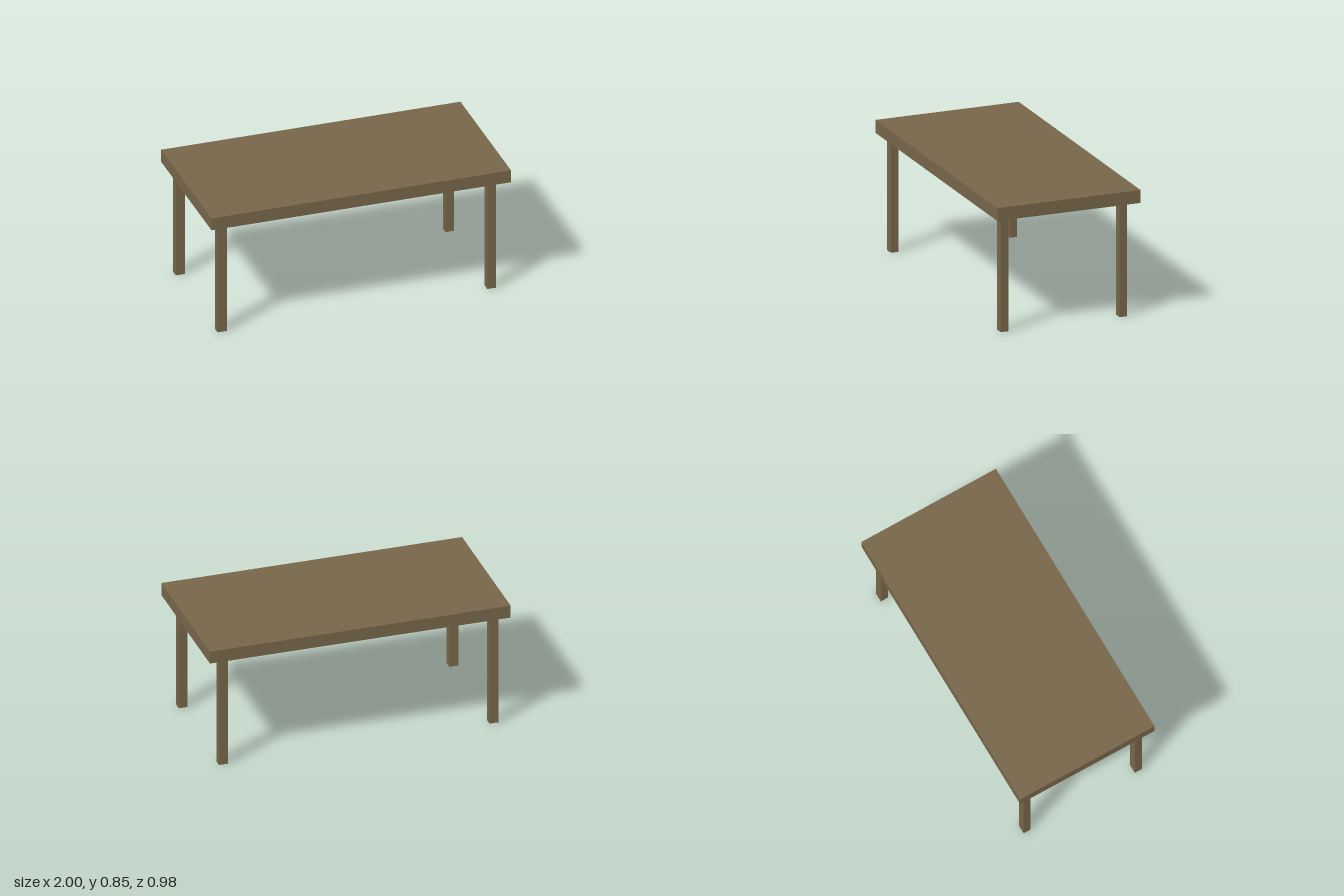
import * as THREE from 'three';

export function createModel() {
  const table = new THREE.Group();
  table.name = 'table';
  const wood = new THREE.MeshStandardMaterial({ color: 0x77664a, flatShading: true });

  // Box given by its extents along each axis
  const addBox = (name, [x0, x1], [y0, y1], [z0, z1]) => {
    const mesh = new THREE.Mesh(new THREE.BoxGeometry(x1 - x0, y1 - y0, z1 - z0), wood);
    mesh.position.set((x0 + x1) / 2, (y0 + y1) / 2, (z0 + z1) / 2);
    mesh.name = name;
    table.add(mesh);
  };

  const legHeight = 0.767;
  addBox('tabletop', [-1, 1], [legHeight, 0.852], [-0.491, 0.491]);

  // Four square legs, set slightly off centre
  const sides = { Right: [-0.94, -0.879], Left: [0.861, 0.92] };
  const rows = { front: [0.381, 0.435], back: [-0.43, -0.379] };
  for (const [row, z] of Object.entries(rows)) {
    for (const [side, x] of Object.entries(sides)) {
      addBox(`${row}${side}Leg`, x, [0, legHeight], z);
    }
  }
  return table;
}
